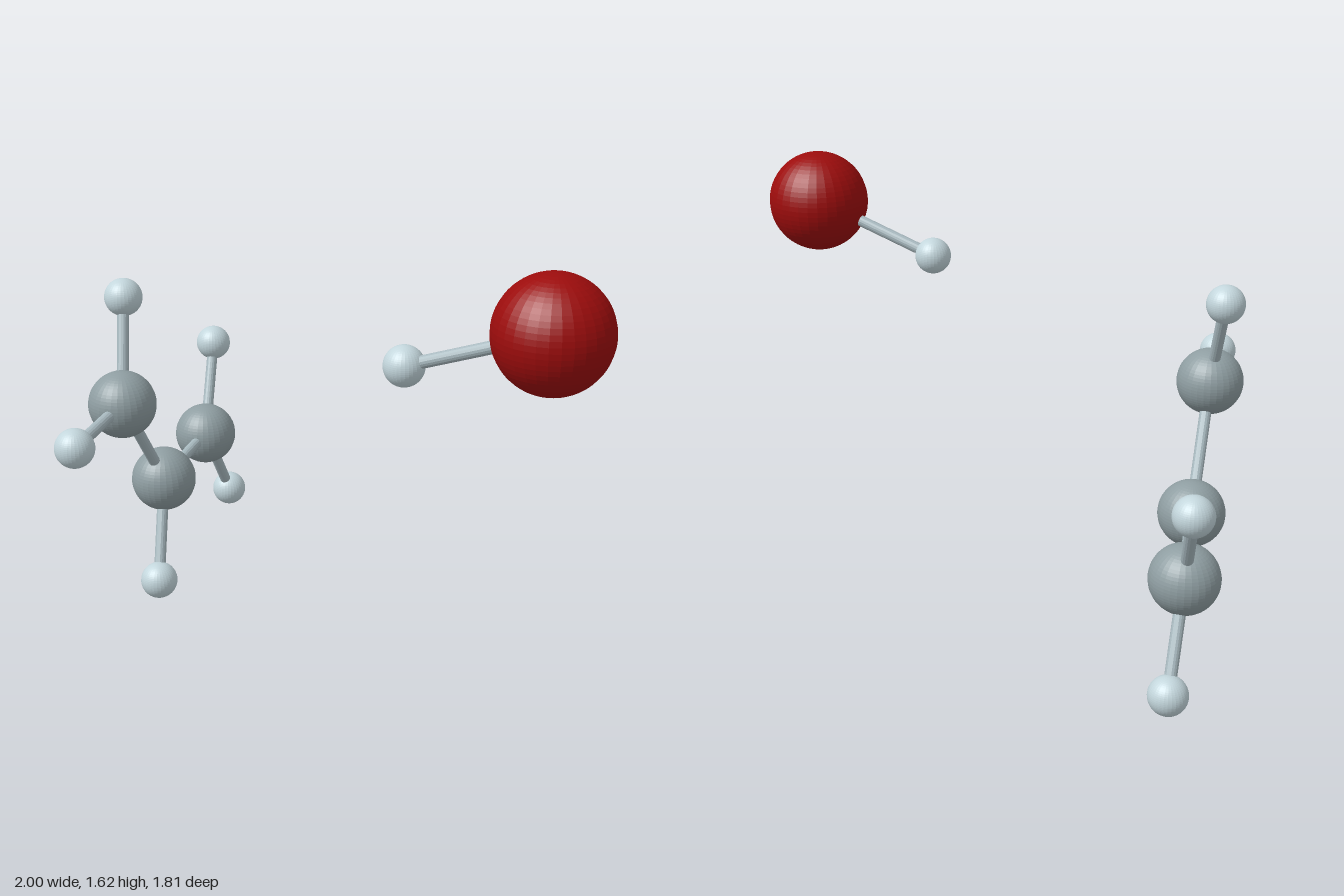
import * as THREE from 'three';

const material = (color) => new THREE.MeshStandardMaterial({ color, flatShading: true });

export function createModel() {
  const model = new THREE.Group();
  model.name = 'moleculePair';

  // Atom kinds: radius and colour
  const kinds = {
    carbon: { radius: 0.131, material: material(0x8f9ea2) },
    hydrogen: { radius: 0.074, material: material(0xc3d6dc) },
    halogen: { radius: 0.206, material: material(0x9c0c0c) },
  };
  const bondMaterial = material(0xa9bac0);

  // Atom kind and centre
  const atoms = [
    ['carbon', -0.87, 0.88, 0.205],
    ['carbon', -0.82, 0.446, -0.093],
    ['carbon', -0.796, 0.443, -0.618],
    ['hydrogen', -0.906, 1.256, 0.03],
    ['hydrogen', -0.908, 0.859, 0.617],
    ['hydrogen', -0.793, 0.08, 0.106],
    ['hydrogen', -0.81, 0.797, -0.833],
    ['hydrogen', -0.757, 0.09, -0.828],
    ['halogen', 0.791, 1.424, 0.697],
    ['hydrogen', 0.285, 1.239, 0.57],
  ].map(([kind, x, y, z]) => ({ kind, centre: new THREE.Vector3(x, y, z) }));

  // Pairs of joined atoms
  const bonds = [[0, 1], [1, 2], [0, 3], [0, 4], [1, 5], [2, 6], [2, 7], [8, 9]];

  for (const { kind, centre } of atoms) {
    const { radius, material: mat } = kinds[kind];
    const atom = new THREE.Mesh(new THREE.SphereGeometry(radius, 32, 32), mat);
    atom.name = `${kind}Atom`;
    atom.position.copy(centre);
    model.add(atom);
  }

  // Thin rods from centre to centre
  const up = new THREE.Vector3(0, 1, 0);
  for (const [i, j] of bonds) {
    const a = atoms[i].centre, b = atoms[j].centre;
    const along = b.clone().sub(a);
    const bond = new THREE.Mesh(
      new THREE.CylinderGeometry(0.023, 0.023, along.length(), 16), bondMaterial);
    bond.name = 'bond';
    bond.position.copy(a).lerp(b, 0.5);
    bond.quaternion.setFromUnitVectors(up, along.normalize());
    model.add(bond);
  }

  return model;
}
